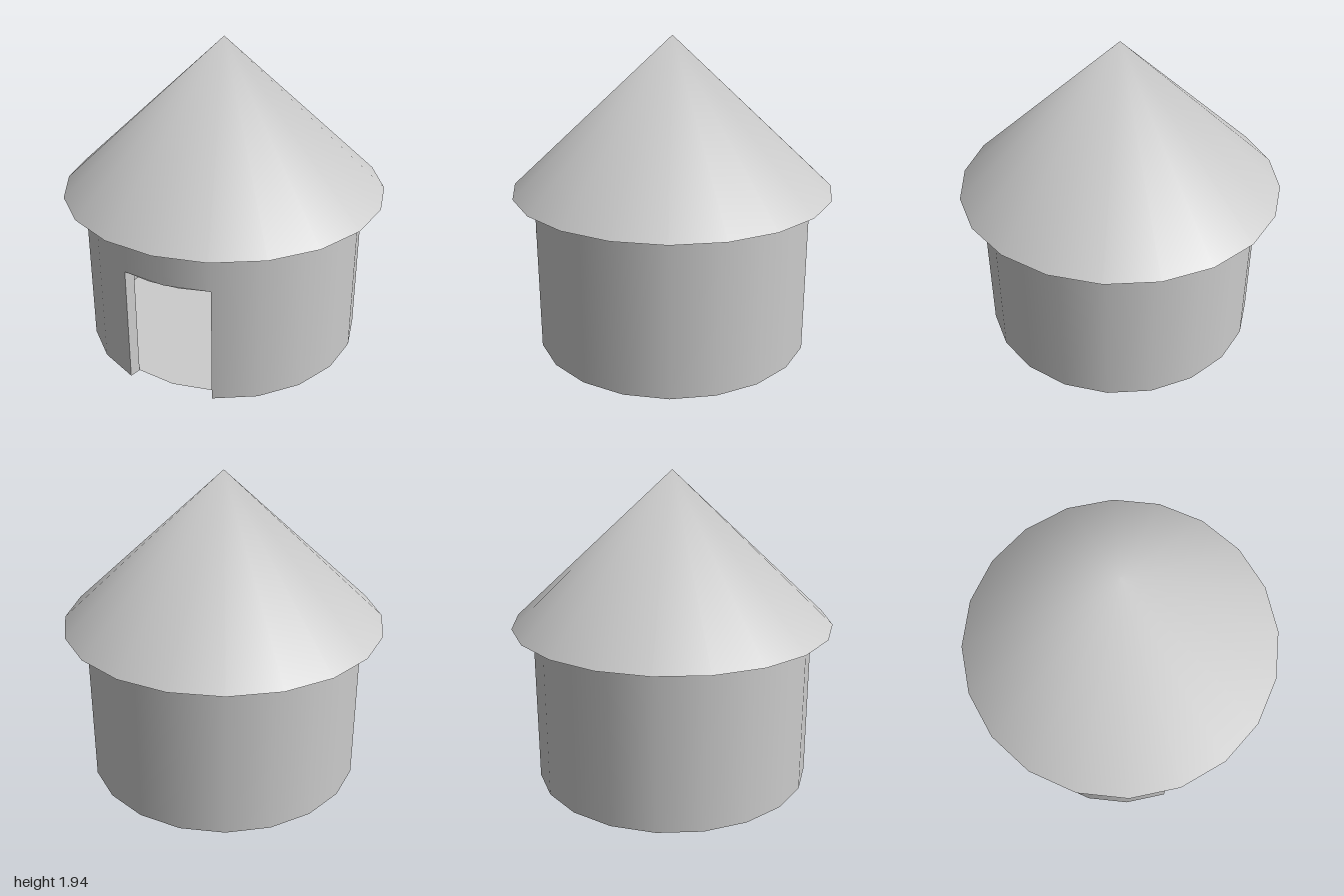
import * as THREE from 'three';

const SIDES = 20;
const STEP = (Math.PI * 2) / SIDES;
const OUTER = 0.87, INNER = 0.8, WALL_H = 1, DOOR_H = 0.74;
const ROOF_R = 1, ROOF_H = 0.94;

export function createModel() {
  const hut = new THREE.Group();
  hut.name = 'roundHut';
  const mat = new THREE.MeshStandardMaterial({ color: 0xcccccc, side: THREE.DoubleSide });

  const add = (name, geometry, parent = hut) => {
    const mesh = new THREE.Mesh(geometry, mat);
    mesh.name = name;
    parent.add(mesh);
    return mesh;
  };

  // Curved wall strip between two heights
  const strip = (r, y0, y1, firstSide, sides) =>
    new THREE.CylinderGeometry(r, r, y1 - y0, sides, 1, true, firstSide * STEP, sides * STEP)
      .translate(0, (y0 + y1) / 2, 0);

  // Hollow wall, open below, with a doorway two sides wide at the front
  const wall = new THREE.Group();
  wall.name = 'wall';
  hut.add(wall);
  for (const [name, r] of [['outer', OUTER], ['inner', INNER]]) {
    add(name + 'Wall', strip(r, 0, WALL_H, 1, SIDES - 2), wall);
    add(name + 'WallOverDoor', strip(r, DOOR_H, WALL_H, -1, 2), wall);
  }

  // Door reveals: two radial jambs and the underside of the lintel
  for (const s of [-1, 1]) {
    const a = s * STEP, r = (OUTER + INNER) / 2;
    const jamb = add(s > 0 ? 'leftJamb' : 'rightJamb',
      new THREE.PlaneGeometry(OUTER - INNER, DOOR_H), wall);
    jamb.position.set(Math.sin(a) * r, DOOR_H / 2, Math.cos(a) * r);
    jamb.rotation.y = a - Math.PI / 2;
  }
  add('lintelUnderside',
    new THREE.RingGeometry(INNER, OUTER, 2, 1, Math.PI / 2 - STEP, 2 * STEP)
      .rotateX(Math.PI / 2).translate(0, DOOR_H, 0), wall);

  // Floor disc
  add('floor', new THREE.CircleGeometry(INNER, SIDES).rotateX(-Math.PI / 2).translate(0, 0.002, 0));

  // Conical roof with a softly shaded tip and a flat underside
  const cone = new THREE.ConeGeometry(ROOF_R, ROOF_H, SIDES, 1)
    .translate(0, WALL_H + ROOF_H / 2, 0);
  const pos = cone.attributes.position;
  for (let i = 0; i < pos.count; i++) {
    if (pos.getY(i) > WALL_H + ROOF_H - 0.01) cone.attributes.normal.setXYZ(i, 0, 1, 0);
  }
  add('roof', cone);

  return hut;
}
